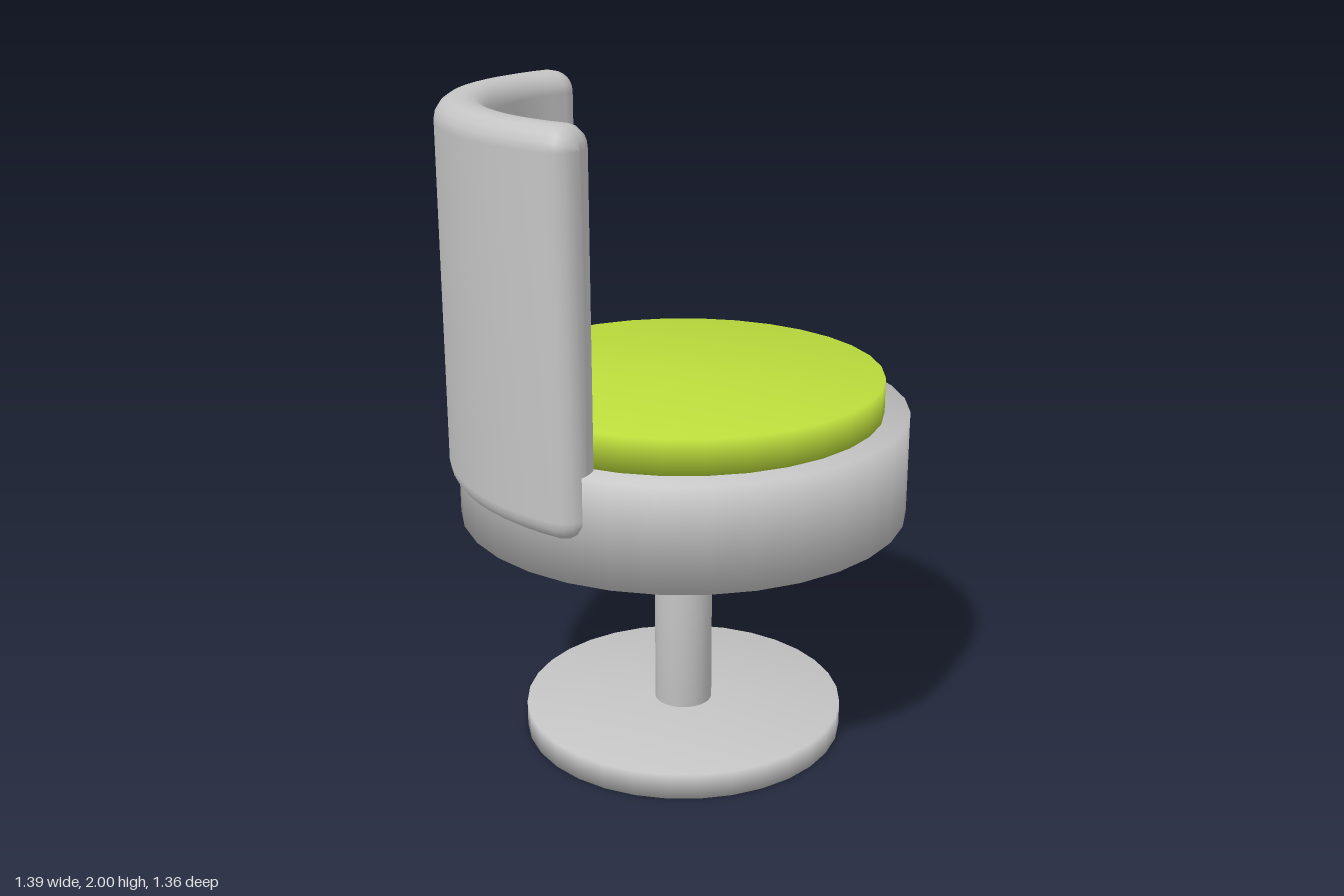
import * as THREE from 'three';
import { mergeVertices } from 'three/addons/utils/BufferGeometryUtils.js';

const grey = new THREE.MeshStandardMaterial({ color: 0xc4c4c4 });
grey.name = 'pale grey';
const lime = new THREE.MeshStandardMaterial({ color: 0xbcdc3c });
lime.name = 'lime green';

// Upright disc between two heights, with normals softened over its rims
function disc(name, radius, y0, y1, material) {
  let geometry = new THREE.CylinderGeometry(radius, radius, y1 - y0, 32);
  geometry.deleteAttribute('normal');
  geometry.deleteAttribute('uv');
  geometry = mergeVertices(geometry);
  geometry.computeVertexNormals();
  const mesh = new THREE.Mesh(geometry, material);
  mesh.name = name;
  mesh.position.set(0.01, (y0 + y1) / 2, 0);
  return mesh;
}

// Curved slab: a rounded upright section swept round an arc, with rounded ends
function curvedSlab({ centreX, radius, halfAngle, thickness, y0, y1, round }) {
  const cornerSteps = 4, endSteps = 4, arcSteps = 20;
  const midY = (y0 + y1) / 2;

  // Stations along the arc; the inset shrinks the section near each end
  const straight = halfAngle - round / radius;
  const ends = [];
  for (let k = endSteps; k > 0; k--) {
    const t = (k / endSteps) * Math.PI / 2;
    ends.push({ angle: straight + Math.sin(t) * round / radius, inset: round * (1 - Math.cos(t)) });
  }
  const stations = ends.map(e => ({ angle: -e.angle, inset: e.inset }));
  for (let i = 0; i <= arcSteps; i++) {
    stations.push({ angle: straight * (2 * i / arcSteps - 1), inset: 0 });
  }
  stations.push(...ends.reverse());

  const positions = [], indices = [];
  const add = (angle, r, y) =>
    positions.push(centreX - r * Math.cos(angle), y, r * Math.sin(angle));
  for (const { angle, inset } of stations) {
    const cu = thickness / 2 - round, cv = (y1 - y0) / 2 - round, r = round - inset;
    for (let q = 0; q < 4; q++) {
      const su = q === 0 || q === 3 ? 1 : -1, sv = q < 2 ? 1 : -1;
      for (let k = 0; k <= cornerSteps; k++) {
        const t = (q + k / cornerSteps) * Math.PI / 2;
        add(angle, radius + su * cu + r * Math.cos(t), midY + sv * cv + r * Math.sin(t));
      }
    }
  }

  // Skin between stations, then a fan over each end
  const n = 4 * (cornerSteps + 1), last = stations.length - 1;
  for (let i = 0; i < last; i++) {
    for (let j = 0; j < n; j++) {
      const a = i * n + j, b = i * n + (j + 1) % n;
      indices.push(a, a + n, b, b, a + n, b + n);
    }
  }
  const first = positions.length / 3;
  add(-halfAngle, radius, midY);
  add(halfAngle, radius, midY);
  for (let j = 0; j < n; j++) {
    const k = (j + 1) % n;
    indices.push(first, j, k, first + 1, last * n + k, last * n + j);
  }

  const geometry = new THREE.BufferGeometry();
  geometry.setAttribute('position', new THREE.Float32BufferAttribute(positions, 3));
  geometry.setIndex(indices);
  geometry.computeVertexNormals();
  return geometry;
}

export function createModel() {
  const chair = new THREE.Group();
  chair.name = 'swivelChair';

  // Pedestal
  chair.add(disc('footPlate', 0.5, 0, 0.08, grey));
  chair.add(disc('post', 0.09, 0.08, 0.745, grey));

  // Seat
  chair.add(disc('seatBase', 0.682, 0.745, 1.06, grey));
  chair.add(disc('cushion', 0.605, 1.06, 1.165, lime));

  // Wraparound backrest on the -x side
  const back = new THREE.Mesh(curvedSlab({
    centreX: 0.043,
    radius: 0.665,
    halfAngle: THREE.MathUtils.degToRad(58.5),
    thickness: 0.155,
    y0: 0.87,
    y1: 2,
    round: 0.065,
  }), grey);
  back.name = 'backrest';
  chair.add(back);

  return chair;
}
